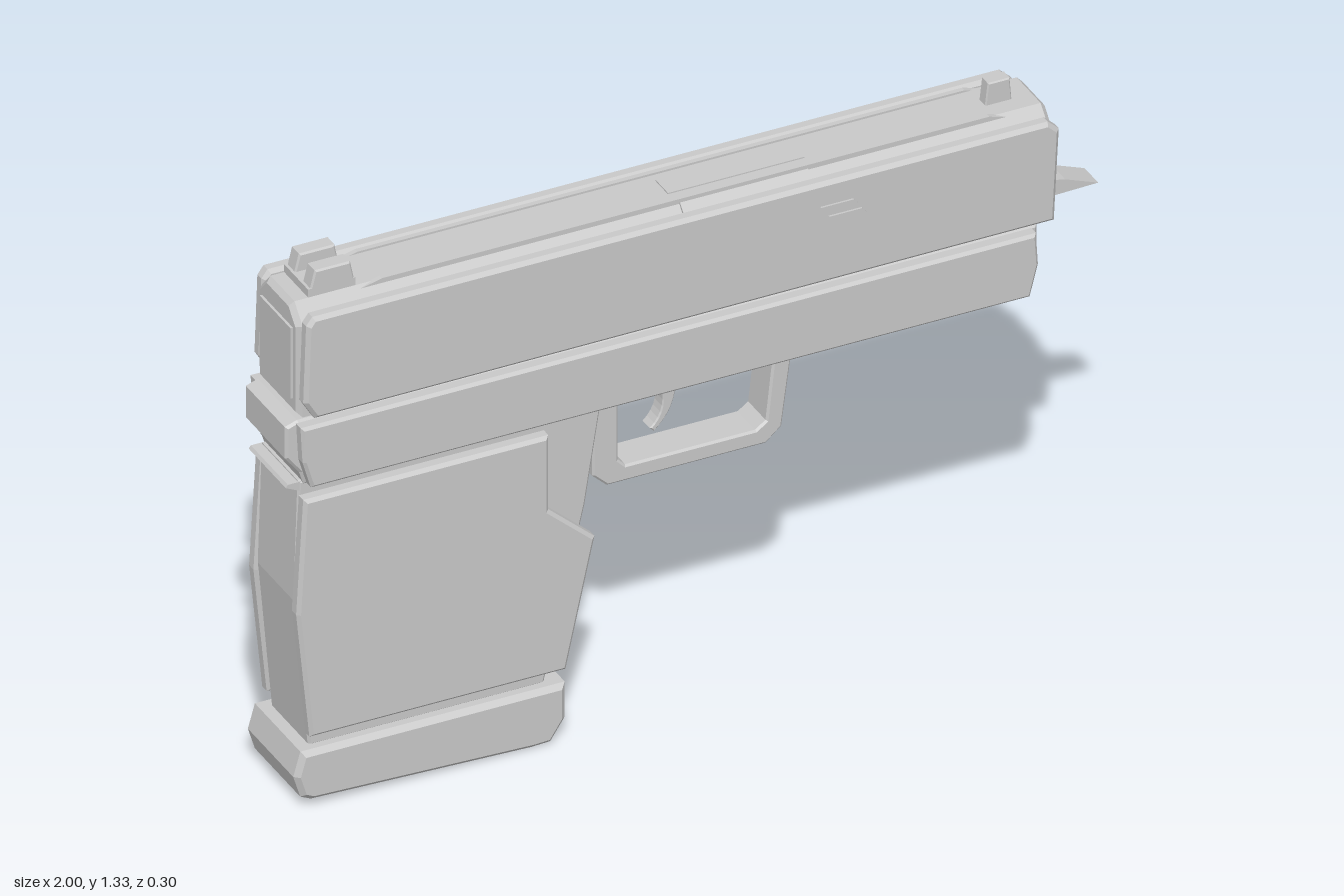
import * as THREE from 'three';

const ZC = 0.017; // mid plane of the body
const grey = new THREE.MeshStandardMaterial({ color: 0xc8c8c8 });
grey.name = 'plain grey';
grey.flatShading = true;

function shapeOf(points) {
  return new THREE.Shape(points.map(([x, y]) => new THREE.Vector2(x, y)));
}

function extrude(shape, length, bevel) {
  return new THREE.ExtrudeGeometry(shape, {
    depth: length - 2 * bevel, bevelEnabled: bevel > 0, bevelSize: bevel,
    bevelThickness: bevel, bevelOffset: -bevel, bevelSegments: 1, curveSegments: 10,
  }).translate(0, 0, bevel);
}

export function createModel() {
  const model = new THREE.Group();
  model.name = 'pistol';

  function add(name, geometry) {
    const mesh = new THREE.Mesh(geometry, grey);
    mesh.name = name;
    model.add(mesh);
    return mesh;
  }
  // Side outline (x, y) given thickness from z0 to z1
  function slab(name, points, z0, z1, bevel = 0, hole = null) {
    const shape = shapeOf(points);
    if (hole) shape.holes.push(shapeOf(hole));
    return add(name, extrude(shape, z1 - z0, bevel).translate(0, 0, z0));
  }
  function box(name, x0, x1, y0, y1, z0, z1) {
    return add(name, new THREE.BoxGeometry(x1 - x0, y1 - y0, z1 - z0)
      .translate((x0 + x1) / 2, (y0 + y1) / 2, (z0 + z1) / 2));
  }
  // The same plate on both flanks, between distances a and b from the mid plane
  function flanks(name, points, a, b, bevel, hole) {
    slab(name + 'Left', points, ZC + a, ZC + b, bevel, hole);
    slab(name + 'Right', points, ZC - b, ZC - a, bevel, hole);
  }

  // Slide: chamfered cross-section swept along x, with flank plates
  const section = [[-0.098, 0.99], [0.098, 0.99], [0.098, 1.222], [0.058, 1.265], [-0.058, 1.265], [-0.098, 1.222]];
  const slide = extrude(shapeOf(section.map(([z, y]) => [z - ZC, y])), 1.83, 0.012);
  add('slide', slide.rotateY(Math.PI / 2).translate(-0.97, 0, 0));
  flanks('slidePlate', [[-0.945, 1.255], [0.835, 1.255], [0.862, 1.23], [0.85, 1.0],
    [-0.94, 0.995], [-0.967, 1.04], [-0.96, 1.235]], 0.09, 0.127, 0.009);
  box('slideBackPlate', -0.976, -0.965, 1.03, 1.21, ZC - 0.075, ZC + 0.075);
  box('slideRail', -0.93, 0.82, 0.97, 1.0, ZC - 0.09, ZC + 0.09);

  // Ribs and ejection port on top of the slide
  for (const s of [-1, 1]) {
    const z = ZC + s * 0.06;
    slab('topRib', [[-0.8, 1.258], [0.76, 1.258], [0.72, 1.27], [-0.75, 1.27]], z - 0.006, z + 0.006);
  }
  box('ejectionPortTop', -0.04, 0.29, 1.26, 1.268, ZC - 0.03, ZC + 0.03);
  const port = new THREE.BoxGeometry(0.31, 0.008, 0.04).rotateX(0.82).translate(0.125, 1.245, ZC + 0.079);
  add('ejectionPortSide', port);

  // Slanted vents on each flank
  for (const [x, y] of [[0.28, 1.185], [0.3, 1.157]]) {
    flanks('vent', [[x, y + 0.012], [x + 0.01, y], [x + 0.09, y], [x + 0.08, y + 0.012]], 0.12, 0.132, 0);
  }

  // Sights
  box('rearSightBase', -0.925, -0.81, 1.26, 1.285, ZC - 0.058, ZC + 0.058);
  for (const s of [-1, 1]) {
    const z = ZC + s * 0.038;
    slab('rearSightPost', [[-0.922, 1.27], [-0.81, 1.27], [-0.822, 1.328], [-0.908, 1.328]], z - 0.02, z + 0.02, 0.004);
  }
  slab('frontSight', [[0.735, 1.26], [0.8, 1.26], [0.795, 1.32], [0.742, 1.32]], ZC - 0.016, ZC + 0.016, 0.003);

  // Muzzle ring and wedge under it
  const ring = new THREE.Shape().absarc(0, 0, 0.045, 0, Math.PI * 2, false);
  ring.holes.push(new THREE.Path().absarc(0, 0, 0.022, 0, Math.PI * 2, true));
  add('muzzleRing', extrude(ring, 0.016, 0).rotateY(Math.PI / 2).translate(0.85, 1.1, ZC));
  slab('muzzleWedge', [[0.84, 1.0], [1.0, 1.004], [0.92, 1.035], [0.84, 1.052]], ZC - 0.033, ZC + 0.033);

  // Frame with a recessed window in each flank plate
  slab('frame', [[-0.97, 0.985], [-1.0, 0.975], [-1.0, 0.895], [-0.965, 0.85], [-0.955, 0.818],
    [0.775, 0.818], [0.82, 0.885], [0.82, 0.985]], ZC - 0.1, ZC + 0.1, 0.006);
  const windowHole = [[-0.228, 0.85], [-0.228, 0.972], [0.1, 0.972], [0.1, 0.85]];
  flanks('framePlate', [[-0.975, 0.98], [0.805, 0.98], [0.81, 0.9], [0.79, 0.822], [-0.95, 0.822], [-0.97, 0.89]],
    0.09, 0.128, 0.007, windowHole);
  flanks('windowFloor', [[-0.235, 0.845], [0.107, 0.845], [0.107, 0.976], [-0.235, 0.976]], 0.1, 0.119, 0);
  slab('slideLever', [[-0.18, 0.905], [-0.17, 0.895], [0.025, 0.895], [0.035, 0.905], [0.035, 0.925],
    [0.025, 0.935], [-0.17, 0.935], [-0.18, 0.925]], ZC - 0.13, ZC - 0.115, 0.004);
  box('underRailSlot', 0.47, 0.58, 0.814, 0.82, ZC - 0.05, ZC + 0.05);
  slab('beavertail', [[-0.995, 0.815], [-0.96, 0.798], [-0.8, 0.795], [-0.8, 0.822], [-0.99, 0.822]], ZC - 0.09, ZC + 0.09);

  // Lanyard loop on the right flank
  const loop = new THREE.Shape().absarc(0, 0, 0.031, 0, Math.PI * 2, false);
  loop.holes.push(new THREE.Path().absarc(0, 0, 0.014, 0, Math.PI * 2, true));
  add('lanyardLoop', extrude(loop, 0.024, 0.003).rotateX(-Math.PI / 2).translate(-0.9, 0.882, -0.119));

  // Grip core, flank panels and magazine base
  slab('gripCore', [[-0.965, 0.825], [-0.975, 0.52], [-0.94, 0.14], [-0.37, 0.14], [-0.27, 0.57], [-0.23, 0.825]],
    ZC - 0.092, ZC + 0.092, 0.006);
  flanks('gripPanel', [[-0.965, 0.79], [-0.372, 0.79], [-0.372, 0.6], [-0.26, 0.5], [-0.33, 0.18],
    [-0.95, 0.18], [-0.982, 0.5]], 0.085, 0.122, 0.008);
  slab('magazineBase', [[-0.97, 0.145], [-0.33, 0.145], [-0.33, 0.055], [-0.365, 0.002], [-0.41, 0],
    [-0.945, 0.018], [-0.97, 0.03], [-0.987, 0.085]], ZC - 0.122, ZC + 0.122, 0.012);

  // Ribbed magazine release
  box('magazineRelease', -0.35, -0.275, 0.63, 0.72, ZC - 0.105, ZC - 0.085);
  for (let i = 0; i < 3; i++) {
    const y = 0.64 + i * 0.027;
    box('releaseRib', -0.347, -0.278, y, y + 0.015, ZC - 0.116, ZC - 0.1);
  }

  // Trigger guard and trigger
  slab('triggerGuard', [[-0.23, 0.83], [-0.23, 0.605], [-0.195, 0.572], [0.19, 0.572], [0.228, 0.605], [0.258, 0.83],
    [0.212, 0.83], [0.19, 0.63], [0.165, 0.612], [-0.15, 0.612], [-0.168, 0.63], [-0.168, 0.83]],
    ZC - 0.047, ZC + 0.047, 0.005);
  const trigger = new THREE.Shape();
  trigger.moveTo(-0.07, 0.83);
  trigger.quadraticCurveTo(-0.02, 0.72, -0.078, 0.67);
  trigger.lineTo(-0.068, 0.66);
  trigger.quadraticCurveTo(0.005, 0.72, -0.022, 0.83);
  add('trigger', extrude(trigger, 0.04, 0.003).translate(0, 0, ZC - 0.02));

  return model;
}
